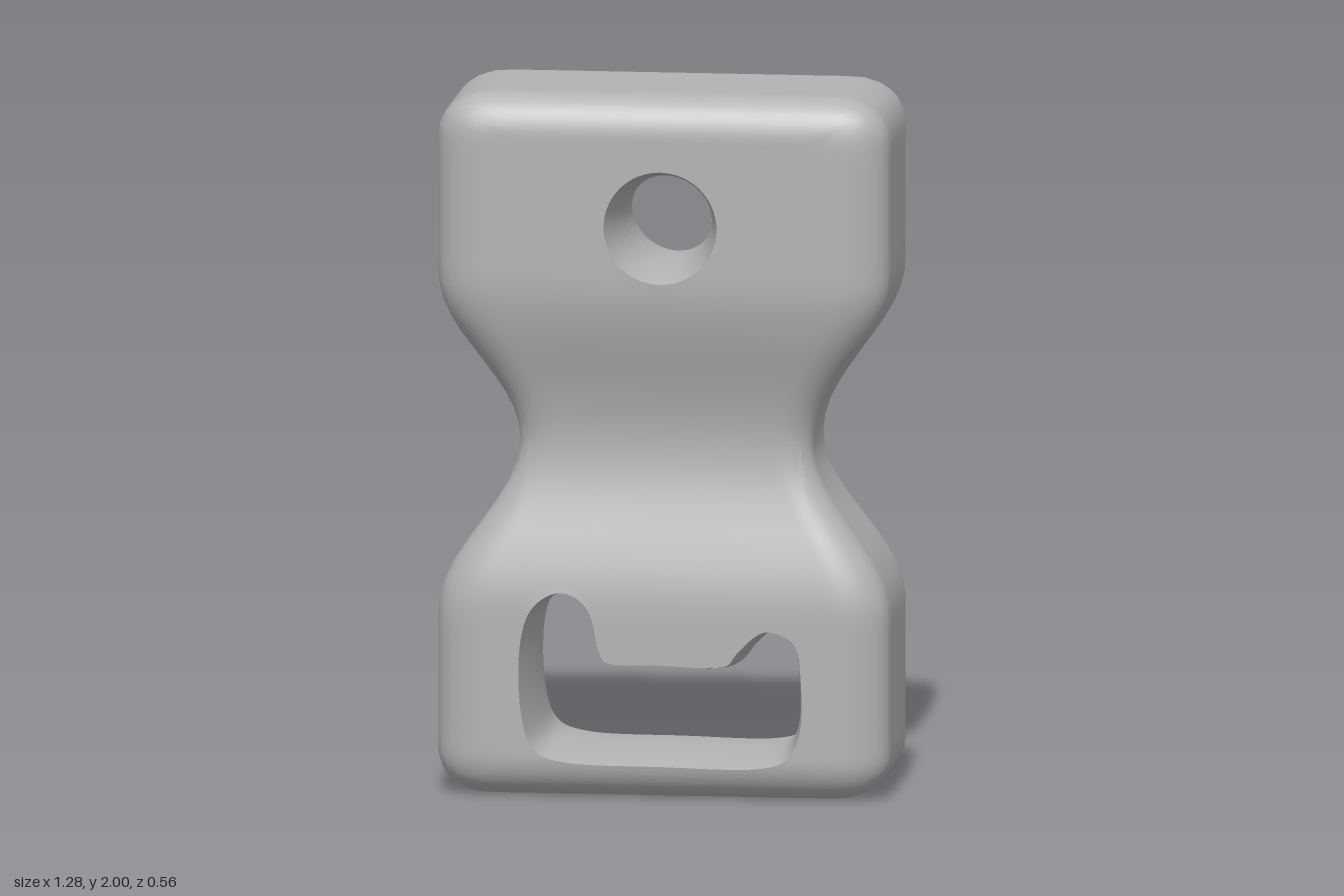
import * as THREE from 'three';
import { mergeGeometries, toCreasedNormals } from 'three/addons/utils/BufferGeometryUtils.js';

const W = 0.64, D = 0.28;               // half width and half depth of the slab
const R = { x: 0.15, y: 0.12, z: 0.1 }; // edge rounding along each axis

// Rounds a point on the plain box, then pinches the box at the waist.
function shapeBody(x, y, z) {
  const h = y - 1;
  const core = (v, half, r) => THREE.MathUtils.clamp(v, r - half, half - r);
  const cx = core(x, W, R.x), cy = core(h, 1, R.y), cz = core(z, D, R.z);
  const q = new THREE.Vector3((x - cx) / R.x, (h - cy) / R.y, (z - cz) / R.z).normalize();
  const py = cy + q.y * R.y;
  const pinch = Math.abs(py) < 0.48 ? 0.5 + 0.5 * Math.cos(Math.PI * py / 0.48) : 0;
  return new THREE.Vector3(
    (cx + q.x * R.x) * (1 - 0.352 * pinch),
    py + 1,
    (cz + q.z * R.z) * (1 - 0.34 * pinch));
}

// Half of the body around one hole: hole wall, front, rim, back and wall again.
// Each loop entry pairs a throat point, a mouth point and a point on the box outline.
function ringedHalf(loop) {
  const WALL = 6, FACE = 20, SIDE = 22;
  const front = [], rim = [];
  const wallPoint = (l, s) => {
    const m = shapeBody(l.mouth.x, l.mouth.y, D);
    const k = s * s;
    return new THREE.Vector3(
      THREE.MathUtils.lerp(l.throat.x, m.x, k),
      THREE.MathUtils.lerp(l.throat.y, m.y, k), m.z * s);
  };
  for (let j = 0; j < WALL; j++) front.push(loop.map(l => wallPoint(l, j / WALL)));
  for (let j = 0; j <= FACE; j++) {
    const t = 1 - Math.pow(1 - j / FACE, 1.4);
    front.push(loop.map(l => {
      const p = l.mouth.clone().lerp(l.outer, t);
      return shapeBody(p.x, p.y, D);
    }));
  }
  for (let j = 1; j < SIDE; j++) {
    const z = D - 2 * D * j / SIDE;
    rim.push(loop.map(l => shapeBody(l.outer.x, l.outer.y, z)));
  }
  const back = front.map(row => row.map(p => new THREE.Vector3(p.x, p.y, -p.z))).reverse();
  const rows = [...front, ...rim, ...back];

  const n = loop.length, positions = [], index = [];
  rows.forEach(row => row.forEach(p => positions.push(p.x, p.y, p.z)));
  for (let j = 0; j < rows.length - 1; j++) {
    const onRim = j >= front.length - 1 && j < front.length + rim.length;
    for (let i = 0; i < n; i++) {
      const k = (i + 1) % n;
      // the two halves meet at the waist, so no rim is needed there
      if (onRim && Math.abs(loop[i].outer.y - 1) < 1e-6 && Math.abs(loop[k].outer.y - 1) < 1e-6) continue;
      const a = j * n + i, b = (j + 1) * n + i, c = (j + 1) * n + k, d = j * n + k;
      index.push(a, b, c, a, c, d);
    }
  }
  const g = new THREE.BufferGeometry();
  g.setAttribute('position', new THREE.Float32BufferAttribute(positions, 3));
  g.setIndex(index);
  return g;
}

// Round hole in the upper half
function roundHoleLoop() {
  const corners = [[W, 1], [W, 2], [-W, 2], [-W, 1]].map(c => new THREE.Vector2(...c));
  const centre = new THREE.Vector2(0, 1.63), steps = 22, loop = [];
  corners.forEach((c, i) => {
    for (let s = 0; s < steps; s++) {
      const outer = c.clone().lerp(corners[(i + 1) % 4], s / steps);
      const dir = outer.clone().sub(centre).normalize();
      loop.push({
        outer,
        throat: centre.clone().addScaledVector(dir, 0.12),
        mouth: centre.clone().addScaledVector(dir, 0.16),
      });
    }
  });
  return loop;
}

// Slot with two unequal notches in the lower half: throat x, y, outline x, y
function slotLoop() {
  const pairs = [
    [0, 0.12, 0, 0], [0.28, 0.12, 0.36, 0], [0.34, 0.14, W, 0], [0.37, 0.2, W, 0.2],
    [0.37, 0.39, W, 0.45], [0.36, 0.435, W, 0.72], [0.34, 0.45, W, 1],
    [0.3, 0.46, 0.45, 1], [0.24, 0.41, 0.3, 1], [0.2, 0.365, 0.2, 1], [0, 0.36, 0, 1],
    [-0.17, 0.37, -0.15, 1], [-0.2, 0.42, -0.2, 1], [-0.23, 0.53, -0.27, 1],
    [-0.29, 0.56, -0.42, 1], [-0.34, 0.53, -W, 1], [-0.37, 0.45, -W, 0.6],
    [-0.37, 0.25, -W, 0.25], [-0.34, 0.155, -W, 0], [-0.28, 0.13, -0.36, 0],
  ];
  const curve = new THREE.CatmullRomCurve3(
    pairs.map(p => new THREE.Vector3(p[0], p[1], 0)), true, 'centripetal');
  const steps = 7, n = pairs.length, loop = [];
  for (let i = 0; i < n * steps; i++) {
    const a = pairs[Math.floor(i / steps)], b = pairs[(Math.floor(i / steps) + 1) % n];
    const f = (i % steps) / steps, u = i / (n * steps);
    const p = curve.getPoint(u), t = curve.getTangent(u);
    loop.push({
      throat: new THREE.Vector2(p.x, p.y),
      mouth: new THREE.Vector2(p.x + t.y * 0.025, p.y - t.x * 0.025),
      outer: new THREE.Vector2(THREE.MathUtils.lerp(a[2], b[2], f), THREE.MathUtils.lerp(a[3], b[3], f)),
    });
  }
  return loop;
}

export function createModel() {
  const grey = new THREE.MeshStandardMaterial({ color: 0xb3b3b3 });
  grey.name = 'plainGrey';
  const halves = mergeGeometries([ringedHalf(roundHoleLoop()), ringedHalf(slotLoop())]);
  const body = new THREE.Mesh(toCreasedNormals(halves, 0.7), grey);
  body.name = 'waistedBody';
  const model = new THREE.Group();
  model.name = 'waistedBlock';
  model.add(body);
  return model;
}
